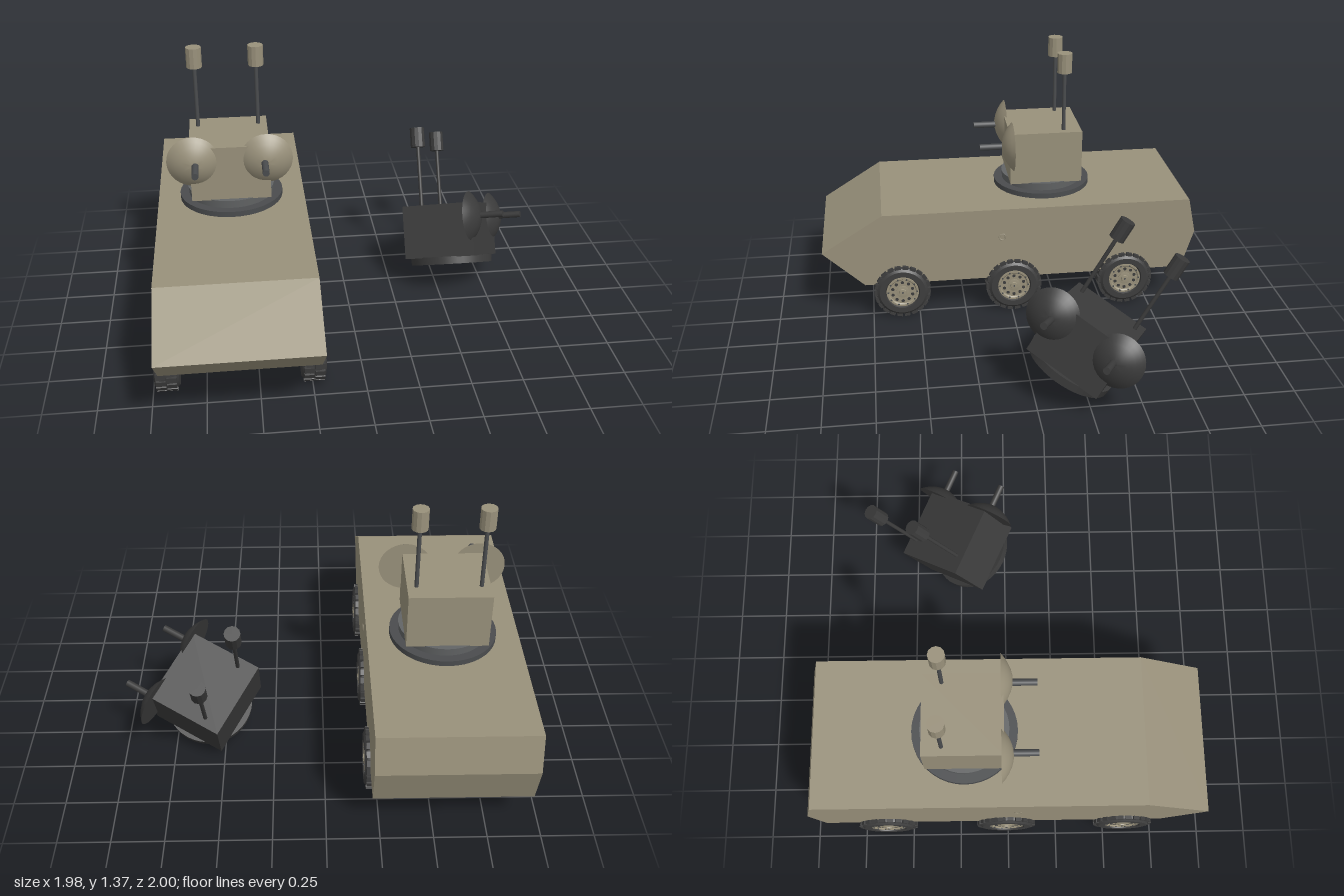
import * as THREE from 'three';
import { toCreasedNormals } from 'three/addons/utils/BufferGeometryUtils.js';

const mat = (name, color) => {
  const m = new THREE.MeshStandardMaterial({ color });
  m.name = name;
  return m;
};

export function createModel() {
  const tan = mat('tan paint', 0x99917b);
  const rubber = mat('rubber', 0x3d3d3d);
  const steel = mat('dark steel', 0x4a4c4e);
  const ringGrey = mat('ring grey', 0x626465);
  const charred = mat('charred metal', 0x3a3a3a);

  const add = (parent, name, geo, material, x = 0, y = 0, z = 0) => {
    const mesh = new THREE.Mesh(geo, material);
    mesh.name = name;
    mesh.position.set(x, y, z);
    parent.add(mesh);
    return mesh;
  };
  const lathe = (pts, seg) => toCreasedNormals(
    new THREE.LatheGeometry(pts.map(([r, y]) => new THREE.Vector2(r, y)), seg), 0.6);
  const group = (parent, name) => {
    const g = new THREE.Group();
    g.name = name;
    parent.add(g);
    return g;
  };

  const model = new THREE.Group();
  model.name = 'armouredVehicle';
  const CX = -0.5875, WIDTH = 0.747;

  // Hull: side profile (z, y) extruded across the width
  const profile = [[1, 0.4], [0.68, 0.6], [-0.96, 0.6], [-1, 0.41], [-0.935, 0.2], [0.785, 0.2]];
  const hullShape = new THREE.Shape(profile.map(([z, y]) => new THREE.Vector2(z, y)));
  const hullGeo = new THREE.ExtrudeGeometry(hullShape, { depth: WIDTH, bevelEnabled: false });
  hullGeo.translate(0, 0, -WIDTH / 2).rotateY(-Math.PI / 2);
  add(model, 'hull', hullGeo, tan, CX);

  // Small side ports
  const portGeo = new THREE.TorusGeometry(0.018, 0.004, 6, 6).rotateY(Math.PI / 2);
  for (const s of [-1, 1]) add(model, 'sidePort', portGeo, tan, CX + s * WIDTH / 2, 0.44, 0.05);

  // Wheels: built along y, outer face up, then laid over to +x
  const tyreGeo = lathe([[0, 0], [0.125, 0], [0.137, 0.012], [0.143, 0.035], [0.143, 0.083],
    [0.137, 0.103], [0.122, 0.115], [0.092, 0.115], [0.085, 0.1], [0, 0.1]], 40);
  const lugGeo = new THREE.BoxGeometry(0.016, 0.046, 0.03);
  const rimGeo = lathe([[0.086, 0.099], [0.086, 0.11], [0.076, 0.11], [0.07, 0.104], [0, 0.104]], 32);
  const hubGeo = lathe([[0.034, 0.103], [0.034, 0.109], [0.02, 0.111], [0.018, 0.117], [0, 0.117]], 20);
  const boltGeo = new THREE.CylinderGeometry(0.005, 0.005, 0.008, 6);
  const holeGeo = new THREE.CylinderGeometry(0.009, 0.009, 0.004, 10);

  const makeWheel = () => {
    const wheel = new THREE.Group();
    wheel.name = 'wheel';
    const axle = group(wheel, 'wheelParts');
    axle.rotation.z = -Math.PI / 2;
    add(axle, 'tyre', tyreGeo, rubber);
    add(axle, 'rim', rimGeo, tan);
    add(axle, 'hub', hubGeo, tan);
    add(axle, 'hubCap', boltGeo, steel, 0, 0.116, 0);
    // Two staggered rows of tread lugs
    const LUGS = 22;
    for (let i = 0; i < LUGS; i++) {
      for (const row of [0, 1]) {
        const a = (i + row / 2) / LUGS * Math.PI * 2;
        const lug = add(axle, 'treadLug', lugGeo, rubber,
          Math.cos(a) * 0.1415, row ? 0.084 : 0.033, Math.sin(a) * 0.1415);
        lug.rotation.y = -a;
      }
    }
    for (let i = 0; i < 10; i++) {
      const a = i / 10 * Math.PI * 2, b = a + Math.PI / 10;
      add(axle, 'rimHole', holeGeo, rubber, Math.cos(a) * 0.055, 0.1035, Math.sin(a) * 0.055);
      add(axle, 'rimBolt', boltGeo, steel, Math.cos(b) * 0.077, 0.108, Math.sin(b) * 0.077);
    }
    return wheel;
  };
  for (const s of [-1, 1]) {
    for (const z of [0.59, -0.01, -0.62]) {
      const wheel = makeWheel();
      wheel.position.set(CX + s * 0.284, 0.155, z);
      if (s < 0) wheel.rotation.y = Math.PI;
      model.add(wheel);
    }
  }

  // Turret flange fixed to the hull
  add(model, 'turretFlange', new THREE.CylinderGeometry(0.262, 0.262, 0.03, 40), steel, CX, 0.613, -0.21);

  // Turret: base ring, box body, two dishes with barrels, two antennas
  const dishGeo = lathe([[0, 0], [0.13, 0], [0.112, 0.016], [0.087, 0.033], [0.055, 0.048],
    [0.025, 0.056], [0, 0.058]], 32).rotateX(Math.PI / 2);
  const makeTurret = (name, body, ring, metal) => {
    const turret = group(model, name);
    add(turret, 'baseRing', new THREE.CylinderGeometry(0.22, 0.217, 0.04, 40), ring, 0, 0.02, 0);
    add(turret, 'turretBody', new THREE.BoxGeometry(0.395, 0.283, 0.385), body, 0, 0.1785, 0.001);
    for (const s of [-1, 1]) {
      add(turret, 'dish', dishGeo, body, s * 0.181, 0.247, 0.18);
      const barrel = add(turret, 'barrel', new THREE.CylinderGeometry(0.017, 0.017, 0.16, 16),
        metal, s * 0.17, 0.247, 0.275);
      barrel.rotation.x = Math.PI / 2;
      add(turret, 'antennaMast', new THREE.CylinderGeometry(0.01, 0.01, 0.34, 12),
        metal, s * 0.153, 0.48, -0.097);
      add(turret, 'antennaHead', toCreasedNormals(new THREE.CylinderGeometry(0.039, 0.039, 0.104, 12), 0.1),
        body, s * 0.153, 0.69, -0.097);
    }
    return turret;
  };
  makeTurret('turret', tan, ringGrey, steel).position.set(CX, 0.628, -0.21);

  // Burnt-out turret lying tilted beside the vehicle
  const wreck = makeTurret('wreckedTurret', charred, charred, charred);
  wreck.position.set(0.586, 0.122, -0.172);
  wreck.rotation.set(-Math.PI / 6, Math.PI / 3, 0);

  return model;
}
